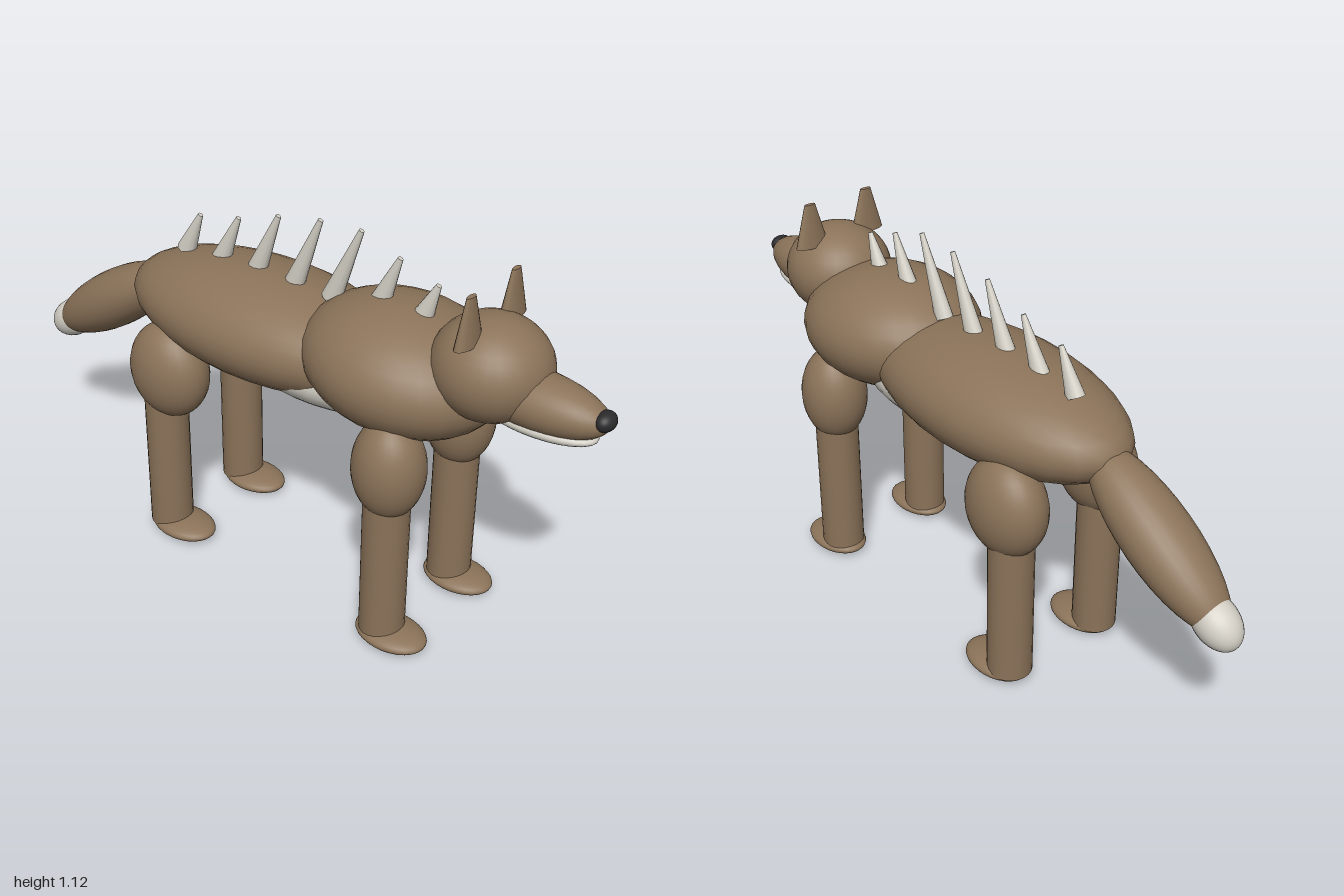
import * as THREE from 'three';

export function createModel() {
  const model = new THREE.Group();
  model.name = 'spinedWolf';

  const mat = (name, color) => {
    const m = new THREE.MeshStandardMaterial({ color });
    m.name = name;
    return m;
  };
  const fur = mat('brownFur', 0x8b7359);
  const pale = mat('paleBone', 0xd3cfc5);
  const dark = mat('darkNose', 0x2a2a2c);

  const add = (name, geometry, material, pos) => {
    const mesh = new THREE.Mesh(geometry, material);
    mesh.name = name;
    mesh.position.set(...pos);
    model.add(mesh);
    return mesh;
  };
  const ellipsoid = (name, material, pos, radii) =>
    add(name, new THREE.SphereGeometry(1, 28, 18).scale(...radii), material, pos);
  // Turns a part's y axis along a direction in the side plane
  const aim = (mesh, y, z) =>
    mesh.quaternion.setFromUnitVectors(new THREE.Vector3(0, 1, 0), new THREE.Vector3(0, y, z).normalize());

  // Trunk
  ellipsoid('body', fur, [0, 0.75, -0.09], [0.233, 0.157, 0.477]);
  ellipsoid('chest', fur, [0, 0.785, 0.385], [0.245, 0.172, 0.295]).rotation.x = 0.07;
  ellipsoid('belly', pale, [0, 0.7, 0.13], [0.178, 0.106, 0.335]);

  // Head
  ellipsoid('head', fur, [0, 0.87, 0.65], [0.158, 0.14, 0.162]);
  ellipsoid('snout', fur, [0, 0.825, 0.775], [0.087, 0.076, 0.212]);
  ellipsoid('lowerJaw', pale, [0, 0.773, 0.79], [0.074, 0.031, 0.17]);
  ellipsoid('nose', dark, [0, 0.838, 0.973], [0.035, 0.026, 0.027]);

  // Tail
  aim(ellipsoid('tail', fur, [0, 0.605, -0.71], [0.1, 0.29, 0.09]), -0.55, -0.833);
  aim(ellipsoid('tailTip', pale, [0, 0.465, -0.92], [0.06, 0.085, 0.06]), -0.55, -0.833);

  // Ears and legs, mirrored
  for (const [side, s] of [['left', 1], ['right', -1]]) {
    add(side + 'Ear', new THREE.CylinderGeometry(0.018, 0.055, 0.13, 16).scale(1, 1, 0.42),
      fur, [s * 0.1, 1.035, 0.638]);
    for (const [end, thighZ, thighR, shinZ, footZ] of [
      ['Front', 0.467, 0.103, 0.465, 0.498],
      ['Rear', -0.322, 0.132, -0.343, -0.293],
    ]) {
      const x = s * 0.165;
      ellipsoid(side + end + 'UpperLeg', fur, [x, 0.57, thighZ], [0.097, 0.148, thighR]);
      add(side + end + 'LowerLeg', new THREE.CylinderGeometry(0.065, 0.065, 0.47, 24), fur, [x, 0.265, shinZ]);
      ellipsoid(side + end + 'Foot', fur, [x, 0.028, footZ], [0.077, 0.028, 0.11]);
    }
  }

  // Back spines: tip and base as z, y
  const spines = [
    [0.48, 1.037, 0.435, 0.93], [0.36, 1.075, 0.3, 0.93], [0.235, 1.115, 0.14, 0.89],
    [0.1, 1.105, 0.01, 0.89], [-0.045, 1.075, -0.125, 0.89], [-0.19, 1.027, -0.26, 0.88],
    [-0.335, 0.995, -0.395, 0.87],
  ];
  spines.forEach(([tz, ty, bz, by], i) => {
    const length = Math.hypot(tz - bz, ty - by);
    const spine = add('spine' + (i + 1), new THREE.CylinderGeometry(0.008, 0.031, length, 12).scale(0.8, 1, 1),
      pale, [0, (ty + by) / 2, (tz + bz) / 2]);
    aim(spine, ty - by, tz - bz);
  });

  return model;
}
